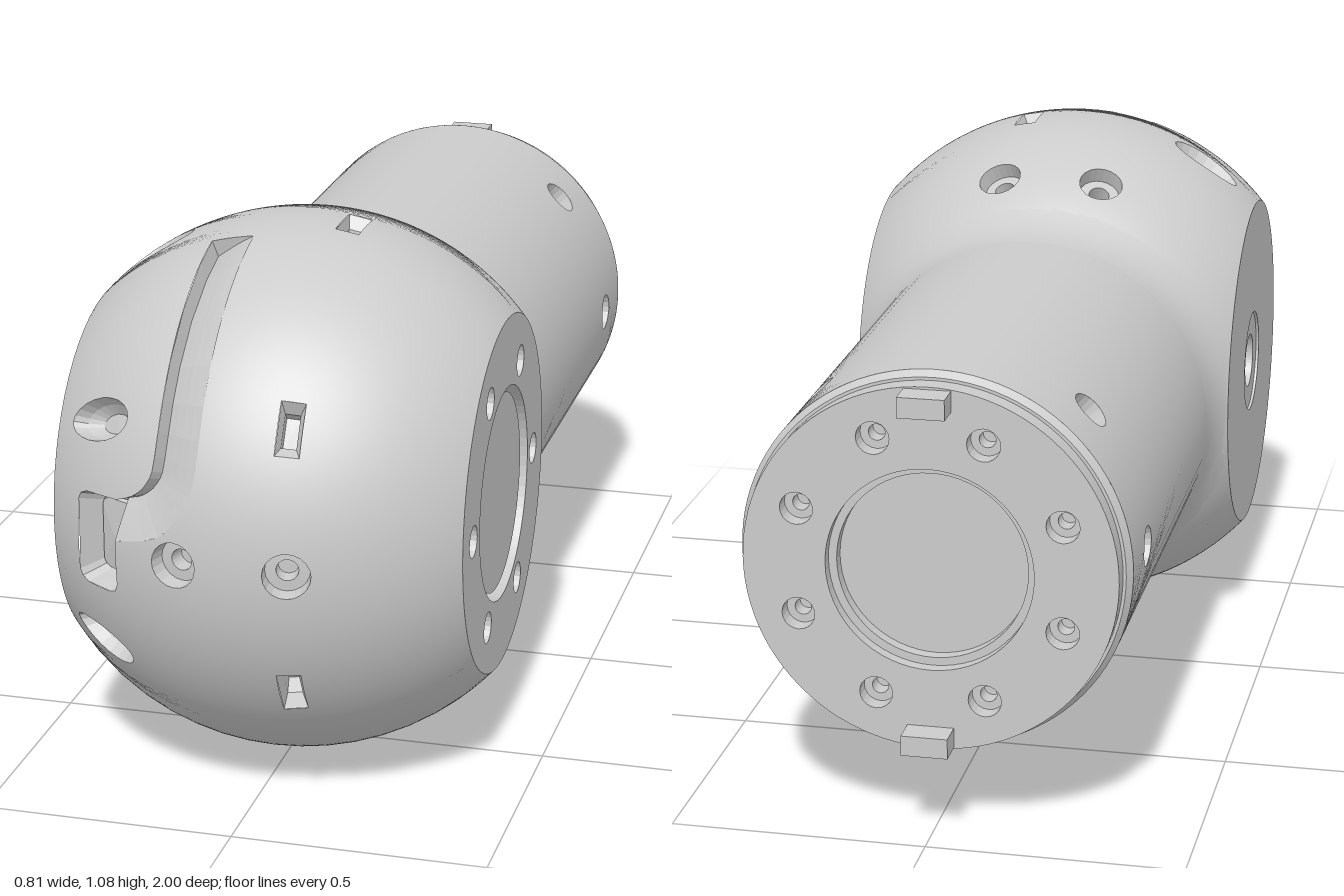
import * as THREE from 'three';

const CY = 0.545, CZ = 0.46, R = 0.54, FLAT = 0.405, NECK = 0.377;
const V = (x, y, z = 0) => new THREE.Vector3(x, y, z);
const rad = THREE.MathUtils.degToRad;
const grey = new THREE.MeshStandardMaterial({ color: 0xcccccc });
const greyOpen = new THREE.MeshStandardMaterial({ color: 0xcccccc, side: THREE.DoubleSide });

// Surface maps: (x, y, depth) -> point. Curved ones use x along the axis, y in degrees around it.
const ballMap = p => {
  const r = Math.sqrt(R * R - p.x * p.x), a = rad(p.y);
  return V(p.x, r * Math.sin(a), r * Math.cos(a)).multiplyScalar(1 - p.z / R);
};
const neckMap = p => V(p.x, (NECK - p.z) * Math.sin(rad(p.y)), (NECK - p.z) * Math.cos(rad(p.y)));
const flatMap = p => V(p.x, p.y, -p.z);

// Outlines on a surface; k turns lengths into the units of y
function oval(x, y, rx, ry, k = 1, n = 20) {
  return Array.from({ length: n }, (_, i) => {
    const a = i / n * Math.PI * 2;
    return V(x + rx * Math.cos(a), y + ry * k * Math.sin(a));
  });
}
const box = (x, y, w, h, k = 1) =>
  [[-1, -1], [1, -1], [1, 1], [-1, 1]].map(([a, b]) => V(x + a * w, y + b * h * k));

// Collects the triangles of one surface together with its recesses
class Skin {
  constructor(map) { this.map = map; this.pos = []; this.nor = []; }

  tri(a, b, c, smooth = false) {
    const q = [a, b, c].map(this.map);
    const face = q[1].clone().sub(q[0]).cross(q[2].clone().sub(q[0])).normalize();
    [a, b, c].forEach((p, i) => {
      const n = smooth ? this.map(V(p.x, p.y, 0)).sub(this.map(V(p.x, p.y, 0.01))).normalize() : face;
      this.pos.push(...q[i].toArray());
      this.nor.push(...n.toArray());
    });
  }

  quad(a, b, c, d) { this.tri(a, b, c); this.tri(a, c, d); }

  // Triangle split into four, repeatedly, so that it follows the curve
  split(a, b, c, level) {
    if (!level) return this.tri(a, b, c, true);
    const m = (p, q) => p.clone().add(q).multiplyScalar(0.5);
    const ab = m(a, b), bc = m(b, c), ca = m(c, a);
    [[a, ab, ca], [ab, b, bc], [ca, bc, c], [ab, bc, ca]].forEach(t => this.split(...t, level - 1));
  }

  // Outer surface with openings
  sheet(outline, holes, level) {
    const shape = new THREE.Shape(outline);
    shape.holes = holes.map(h => new THREE.Path(h));
    const g = new THREE.ShapeGeometry(shape), ix = g.index.array, p = g.attributes.position;
    const at = i => V(p.getX(ix[i]), p.getY(ix[i]));
    for (let i = 0; i < ix.length; i += 3) this.split(at(i), at(i + 1), at(i + 2), level);
  }

  // Stepped pocket below an outline: steps are [scale, depth]
  recess(outline, steps) {
    const pts = THREE.ShapeUtils.isClockWise(outline) ? [...outline].reverse() : outline;
    const mid = pts.reduce((s, p) => s.add(p), V(0, 0)).divideScalar(pts.length);
    const loops = steps.map(([s, d]) => pts.map(p =>
      V(mid.x + (p.x - mid.x) * s, mid.y + (p.y - mid.y) * s, Math.max(p.z, d))));
    const end = loops[loops.length - 1], n = pts.length;
    const centre = V(mid.x, mid.y, steps[steps.length - 1][1]);
    for (let i = 0; i < n; i++) {
      const j = (i + 1) % n;
      for (let k = 0; k + 1 < loops.length; k++)
        this.quad(loops[k][i], loops[k][j], loops[k + 1][j], loops[k + 1][i]);
      this.tri(centre, end[i], end[j]);
    }
  }

  mesh(name) {
    const g = new THREE.BufferGeometry();
    g.setAttribute('position', new THREE.Float32BufferAttribute(this.pos, 3));
    g.setAttribute('normal', new THREE.Float32BufferAttribute(this.nor, 3));
    const m = new THREE.Mesh(g, grey);
    m.name = name;
    return m;
  }
}

const SCREW = [[1, 0], [1, 0.035], [0.5, 0.035], [0.5, 0.07]];
const SLOT = [[1, 0], [0.65, 0.025], [0.65, 0.06]];
const DENT = [[1, 0], [0.85, 0.025], [0.5, 0.045]];

function makeBall() {
  const skin = new Skin(ballMap);
  const k = x => 180 / Math.PI / Math.sqrt(R * R - x * x);
  const features = [];
  for (const a of [30, 90, 270, 330]) {
    features.push({ a, pts: oval(-0.295, a, 0.068, 0.042, k(0.295)), steps: DENT });
    features.push({ a, pts: box(0.1, a, 0.023, 0.052, k(0.1)), steps: SLOT });
  }
  for (const a of [0, 120, 240]) for (const x of [-0.11, 0.11])
    features.push({ a, pts: oval(x, a, 0.045, 0.045, k(x)), steps: SCREW });

  // Curved guide channel, deep on its left edge and running out on its right
  const curve = pts => new THREE.SplineCurve(pts.map(p => new THREE.Vector2(...p)))
    .getPoints(15).map(p => V(p.x, p.y));
  const left = curve([[-0.155, 78], [-0.155, 43], [-0.157, 22], [-0.17, 16.4], [-0.2, 13.3], [-0.237, 11.9]]);
  const right = curve([[-0.07, 78], [-0.07, 41.6], [-0.07, 20.2], [-0.09, 12.5], [-0.14, 5.5], [-0.237, 2.4]]);
  const depth = 0.035, cols = [0, 0.04, 0.25, 0.5, 0.75, 1];
  const row = (i, d) => [left[i].clone(), ...cols.map(f => {
    const p = left[i].clone().lerp(right[i], f);
    p.z = d * (1 - f);
    return p;
  })];
  const rows = [row(0, 0), ...left.map((_, i) => row(i, depth))];
  for (let i = 0; i + 1 < rows.length; i++) for (let j = 0; j < cols.length; j++)
    skin.quad(rows[i][j], rows[i + 1][j], rows[i + 1][j + 1], rows[i][j + 1]);

  // Button pocket at the channel's lower end
  const side = [[-0.31, 12.4], [-0.325, 11.6], [-0.33, 10], [-0.33, -9.4], [-0.325, -11], [-0.31, -11.7],
    [-0.257, -11], [-0.242, -10.2], [-0.237, -8.3]].map(p => V(...p));
  const last = left.length - 1;
  skin.recess([V(-0.237, 11.9, depth), ...side, right[last]], [[1, 0], [0.94, 0.04], [0.9, 0.06], [0.84, 0.05]]);
  const channel = [...left, ...side, ...[...right].reverse()];

  // Bands around the ball
  const bands = [-15, 82, 105, 135, 165, 195, 225, 255, 285, 315, 345];
  for (let i = 0; i + 1 < bands.length; i++) {
    const [a, b] = [bands[i], bands[i + 1]];
    const own = features.filter(f => f.a > a && f.a < b);
    const holes = own.map(f => f.pts);
    if (i === 0) holes.push(channel);
    skin.sheet([V(-FLAT, a), V(FLAT, a), V(FLAT, b), V(-FLAT, b)], holes, 4);
    own.forEach(f => skin.recess(f.pts, f.steps));
  }
  const m = skin.mesh('ballHousing');
  m.position.set(0, CY, CZ);
  return m;
}

function makeNeck() {
  const skin = new Skin(neckMap);
  for (let a = -180; a < 180; a += 45) {
    const hole = oval(0.735, a, 0.04, 0.04, 180 / Math.PI / NECK);
    const drilled = Math.abs(a) !== 90;
    skin.sheet([V(-0.1, a - 22.5), V(0.89, a - 22.5), V(0.89, a + 22.5), V(-0.1, a + 22.5)],
      drilled ? [hole] : [], 3);
    if (drilled) skin.recess(hole, SCREW);
  }
  const m = skin.mesh('neckTube');
  m.rotation.y = Math.PI / 2;
  m.position.y = CY;
  return m;
}

// Flat round plate with a centre recess and a circle of screw holes
function makePlate(name, radius, centreR, centreSteps, count, ringR, phase) {
  const skin = new Skin(flatMap);
  const centre = oval(0, 0, centreR, centreR, 1, 64);
  const screws = Array.from({ length: count }, (_, i) => {
    const a = phase + i / count * Math.PI * 2;
    return oval(ringR * Math.cos(a), ringR * Math.sin(a), 0.032, 0.032);
  });
  skin.sheet(oval(0, 0, radius, radius, 1, 96), [centre, ...screws], 0);
  skin.recess(centre, centreSteps);
  screws.forEach(s => skin.recess(s, SCREW));
  return skin.mesh(name);
}

// Turned part around the neck axis; points are [radius, -z]
function turned(name, pts) {
  const g = new THREE.LatheGeometry(pts.map(p => new THREE.Vector2(...p)), 96);
  g.rotateX(-Math.PI / 2);
  const p = g.attributes.position;
  for (let i = 0; i < p.count; i++) p.setX(i, THREE.MathUtils.clamp(p.getX(i), -0.404, 0.404));
  const m = new THREE.Mesh(g, greyOpen);
  m.name = name;
  m.position.y = CY;
  return m;
}

export function createModel() {
  const model = new THREE.Group();
  const flatR = Math.sqrt(R * R - FLAT * FLAT);
  model.add(makeBall(), makeNeck());

  // Side plates and rear plate
  const leftPlate = makePlate('leftPlate', flatR, 0.215,
    [[1, 0], [1, 0.045], [0.93, 0.045], [0.93, 0.012]], 6, 0.268, 0);
  leftPlate.rotation.y = Math.PI / 2;
  leftPlate.position.set(FLAT, CY, CZ);
  const rightPlate = makePlate('rightPlate', flatR, 0.11,
    [[1, 0], [1, 0.006], [0.53, 0.006], [0.53, 0.07]], 0, 0, 0);
  rightPlate.rotation.y = -Math.PI / 2;
  rightPlate.position.set(-FLAT, CY, CZ);
  const rearPlate = makePlate('rearPlate', 0.36, 0.2,
    [[1, 0], [1, 0.025], [0.92, 0.025], [0.92, 0.05]], 8, 0.275, Math.PI / 8);
  rearPlate.rotation.y = Math.PI;
  rearPlate.position.set(0, CY, -0.945);
  model.add(leftPlate, rightPlate, rearPlate);

  // Blend between ball and neck, and the stepped rear rim
  model.add(turned('neckFillet', [[0.419, -0.12], [0.401, -0.095], [0.386, -0.065], [0.379, -0.03], [0.377, 0]]));
  model.add(turned('rearChamfer', [[0.377, 0.89], [0.366, 0.905]]));
  model.add(turned('rearStep', [[0.366, 0.905], [0.36, 0.905]]));
  model.add(turned('rearRim', [[0.36, 0.905], [0.36, 0.945]]));

  // Locating tabs
  for (const s of [1, -1]) {
    const tab = new THREE.Mesh(new THREE.BoxGeometry(0.09, 0.04, 0.065), grey);
    tab.name = s > 0 ? 'upperTab' : 'lowerTab';
    tab.position.set(0, CY + s * 0.335, -0.9675);
    model.add(tab);
  }
  return model;
}
